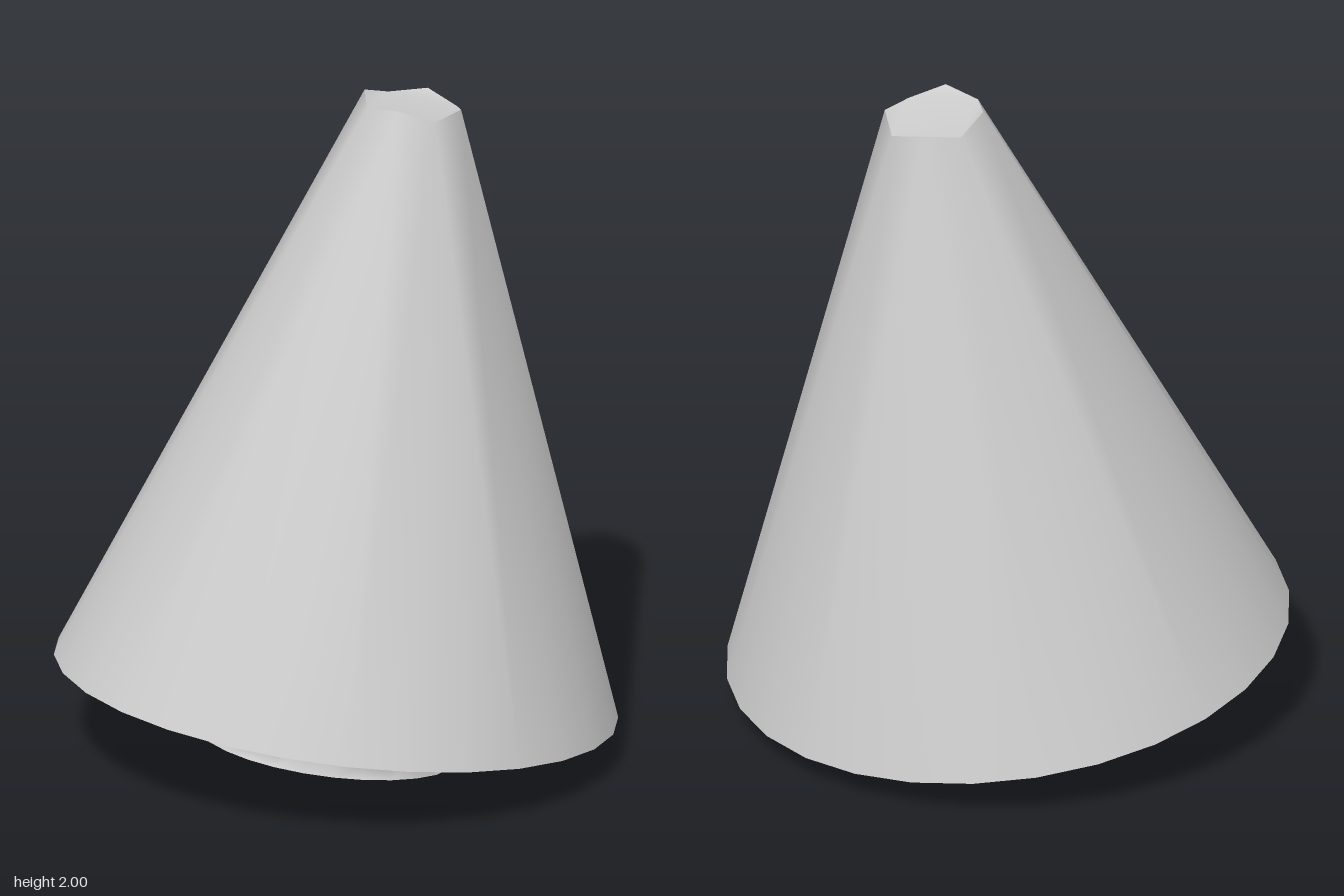
import * as THREE from 'three';

const SIDES = 28;
const TILT = 0.141;      // lean towards +x
const BASE_Y = 0.19;     // height of the cone's base centre

// Ring of points, counter-clockwise from above
function ring(n, radius, height) {
  return Array.from({ length: n }, (_, i) => {
    const a = (i / n) * Math.PI * 2;
    const y = typeof height === 'function' ? height(i) : height;
    return [radius * Math.cos(a), y, -radius * Math.sin(a)];
  });
}

// Smooth wall between rings; a ring may have fewer points than the one below it
function wall(rings) {
  const index = [];
  let start = 0;
  for (let s = 0; s < rings.length - 1; s++) {
    const n = rings[s].length, m = rings[s + 1].length, top = start + n;
    const up = (k) => Math.round((k * m) / n);
    for (let k = 0; k < n; k++) {
      const a = start + k, b = start + ((k + 1) % n);
      const c = top + (up(k) % m), d = top + (up(k + 1) % m);
      index.push(a, b, d);
      if (c !== d) index.push(a, d, c);
    }
    start = top;
  }
  const geometry = new THREE.BufferGeometry();
  geometry.setAttribute('position', new THREE.Float32BufferAttribute(rings.flat(2), 3));
  geometry.setIndex(index);
  return geometry;
}

// Lean a geometry and flatten whatever would sink below the ground
function lean(geometry) {
  geometry.rotateZ(-TILT).translate(0, BASE_Y, 0);
  const p = geometry.attributes.position;
  for (let i = 0; i < p.count; i++) p.setY(i, Math.max(0, p.getY(i)));
  geometry.computeVertexNormals();
  return geometry;
}

export function createModel() {
  const model = new THREE.Group();
  model.name = 'leaningCone';
  const grey = new THREE.MeshStandardMaterial({ color: 0xcccccc });
  grey.name = 'plain grey';

  const add = (name, geometry) => {
    const mesh = new THREE.Mesh(lean(geometry), grey);
    mesh.name = name;
    model.add(mesh);
  };

  // Cone wall, ending in a small eight-point crown
  const crown = ring(8, 0.15, (i) => (i % 2 ? 1.813 : 1.79));
  add('coneWall', wall([ring(SIDES, 0.838, 0), crown]));

  // Tip: flat diamond with four raised corners
  const tip = new THREE.BufferGeometry();
  tip.setAttribute('position', new THREE.Float32BufferAttribute(crown.flat(), 3));
  tip.setIndex([0, 2, 4, 0, 4, 6, 0, 1, 2, 2, 3, 4, 4, 5, 6, 6, 7, 0]);
  add('tip', tip);

  // Flat underside around the stump
  add('underside', new THREE.RingGeometry(0.445, 0.838, SIDES, 1).rotateX(Math.PI / 2));

  // Stump: flared foot, uneven waist, flare into the cone
  add('stump', wall([
    ring(SIDES, 0.4, -0.164),
    ring(SIDES, 0.375, (i) => (i % 4 < 2 ? -0.13 : -0.095)),
    ring(SIDES, 0.415, -0.03),
    ring(SIDES, 0.445, 0),
  ]));

  // Sole of the stump, worn level where it meets the ground
  add('sole', new THREE.RingGeometry(0, 0.4, SIDES, 6).rotateX(Math.PI / 2).translate(0, -0.164, 0));

  return model;
}
